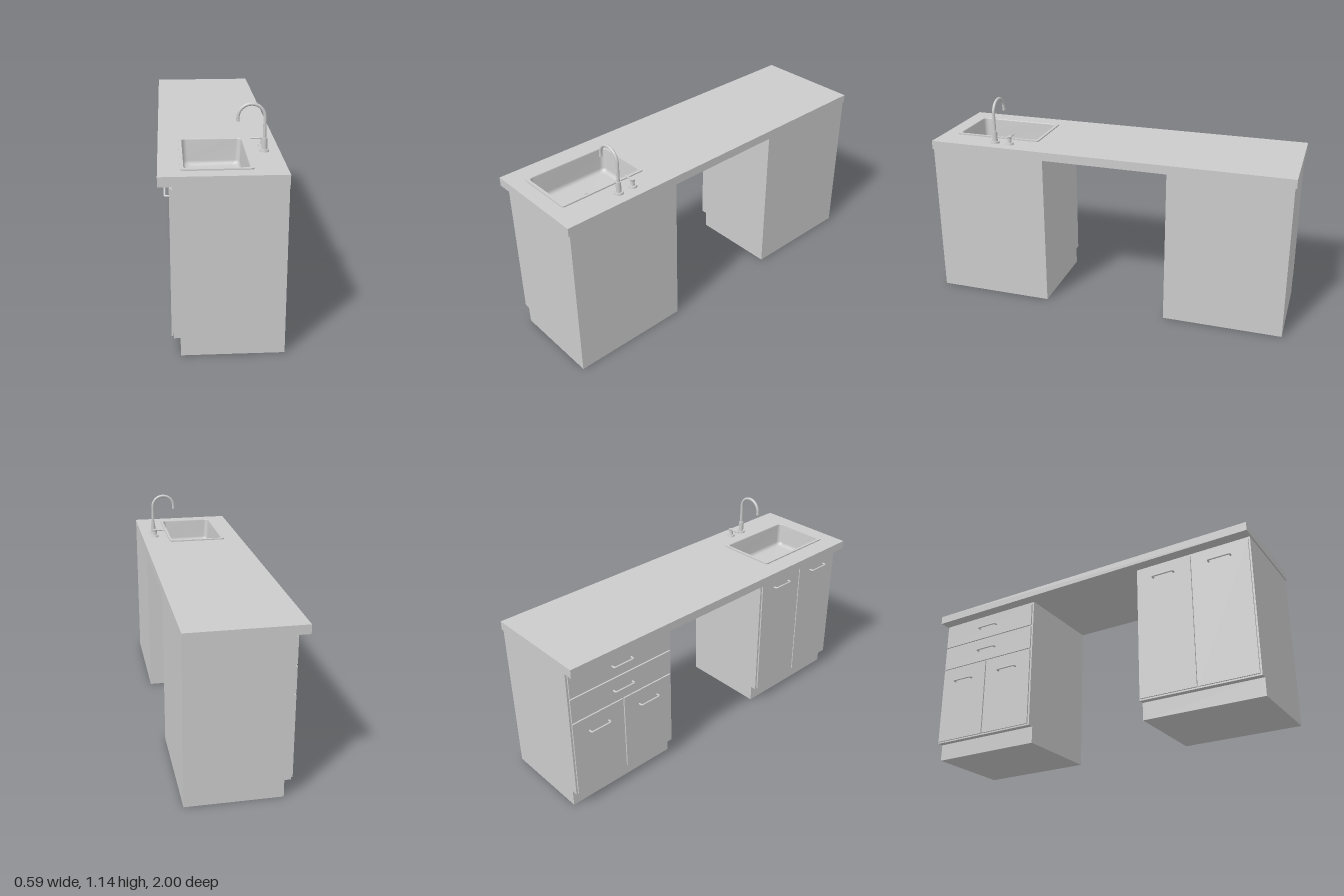
import * as THREE from 'three';

const grey = new THREE.MeshStandardMaterial({ color: 0xcccccc });
const greyDouble = new THREE.MeshStandardMaterial({ color: 0xcccccc, side: THREE.DoubleSide });

function add(parent, name, geometry, material = grey) {
  const mesh = new THREE.Mesh(geometry, material);
  mesh.name = name;
  parent.add(mesh);
  return mesh;
}

// Box given by its limits on each axis
function box(parent, name, [x0, x1], [y0, y1], [z0, z1]) {
  const mesh = add(parent, name, new THREE.BoxGeometry(x1 - x0, y1 - y0, z1 - z0));
  mesh.position.set((x0 + x1) / 2, (y0 + y1) / 2, (z0 + z1) / 2);
  return mesh;
}

function cylinder(parent, name, rTop, rBottom, y0, y1, x, z) {
  const mesh = add(parent, name, new THREE.CylinderGeometry(rTop, rBottom, y1 - y0, 24));
  mesh.position.set(x, (y0 + y1) / 2, z);
  return mesh;
}

// Rounded rectangle around (cx, cz), as points in plan
function roundedRect(cx, cz, hw, hd, r, steps = 6) {
  const points = [];
  [[1, 1], [-1, 1], [-1, -1], [1, -1]].forEach(([sx, sz], corner) => {
    for (let i = 0; i <= steps; i++) {
      const a = (corner + i / steps) * Math.PI / 2;
      points.push(new THREE.Vector2(
        cx + sx * (hw - r) + r * Math.cos(a), cz + sz * (hd - r) + r * Math.sin(a)));
    }
  });
  return points;
}

// Horizontal slab with an opening; plan points are (x, z)
function slab(outer, hole, y0, y1) {
  const flip = (p) => new THREE.Vector2(p.x, -p.y);
  const shape = new THREE.Shape(outer.map(flip));
  shape.holes.push(new THREE.Path(hole.map(flip)));
  return new THREE.ExtrudeGeometry(shape, { depth: y1 - y0, bevelEnabled: false })
    .rotateX(-Math.PI / 2).translate(0, y0, 0);
}

const SINK = [-0.026, 0.675];

// Cabinet carcass with a recessed toe kick under the doors
function cabinet(parent, name, z0, z1) {
  const group = new THREE.Group();
  group.name = name;
  parent.add(group);
  const t = 0.016;
  const profile = new THREE.Shape([[-0.2, 0], [0.291, 0], [0.291, 0.848], [-0.232, 0.848], [-0.232, 0.093], [-0.2, 0.093]]
    .map(([x, y]) => new THREE.Vector2(x, y)));
  for (const z of [z0, z1 - t]) {
    add(group, 'sidePanel', new THREE.ExtrudeGeometry(profile, { depth: t, bevelEnabled: false })).position.z = z;
  }
  const inner = [z0 + t, z1 - t];
  box(group, 'backPanel', [0.291 - t, 0.291], [0, 0.848], inner);
  box(group, 'frontPanel', [-0.232, -0.22], [0.093, 0.848], inner);
  box(group, 'toeKick', [-0.2, -0.184], [0, 0.093], inner);
  box(group, 'floorPanel', [-0.22, 0.275], [0.093, 0.109], inner);
  box(group, 'basePanel', [-0.184, 0.275], [0, 0.012], inner);
  return group;
}

// Arched pull handle standing off the front
function handle(parent, y, z) {
  const path = new THREE.CurvePath();
  const v = (x, dz) => new THREE.Vector3(x, y, z + dz);
  path.add(new THREE.LineCurve3(v(-0.238, -0.06), v(-0.254, -0.06)));
  path.add(new THREE.QuadraticBezierCurve3(v(-0.254, -0.06), v(-0.263, -0.06), v(-0.263, -0.05)));
  path.add(new THREE.LineCurve3(v(-0.263, -0.05), v(-0.263, 0.05)));
  path.add(new THREE.QuadraticBezierCurve3(v(-0.263, 0.05), v(-0.263, 0.06), v(-0.254, 0.06)));
  path.add(new THREE.LineCurve3(v(-0.254, 0.06), v(-0.238, 0.06)));
  add(parent, 'handle', new THREE.TubeGeometry(path, 48, 0.005, 10));
}

// Door or drawer front with its handle
function front(parent, name, y0, y1, z0, z1, handleY) {
  box(parent, name, [-0.243, -0.235], [y0, y1], [z0, z1]);
  box(parent, name + 'Spacer', [-0.235, -0.232], [y0 + 0.01, y1 - 0.01], [z0 + 0.01, z1 - 0.01]);
  handle(parent, handleY, (z0 + z1) / 2);
}

// Basin lofted through rounded rectangles from rim to floor
function basinGeometry() {
  const levels = [
    [0.151, 0.231, 0.02, 0.902], [0.148, 0.228, 0.022, 0.897], [0.143, 0.222, 0.025, 0.79],
    [0.139, 0.218, 0.027, 0.778], [0.132, 0.211, 0.03, 0.77], [0.12, 0.199, 0.03, 0.767],
    [0.02, 0.02, 0.019, 0.765], [0.001, 0.001, 0.0005, 0.765],
  ];
  const positions = [], index = [];
  let n = 0;
  for (const [hw, hd, r, y] of levels) {
    const ring = roundedRect(SINK[0], SINK[1], hw, hd, r);
    n = ring.length;
    ring.forEach((p) => positions.push(p.x, y, p.y));
  }
  for (let l = 0; l < levels.length - 1; l++) {
    for (let i = 0; i < n; i++) {
      const a = l * n + i, b = l * n + (i + 1) % n;
      index.push(a, b, a + n, b, b + n, a + n);
    }
  }
  const geometry = new THREE.BufferGeometry();
  geometry.setAttribute('position', new THREE.Float32BufferAttribute(positions, 3));
  geometry.setIndex(index);
  geometry.computeVertexNormals();
  return geometry;
}

function sink(parent) {
  const group = new THREE.Group();
  group.name = 'sink';
  parent.add(group);
  add(group, 'sinkRim', slab(roundedRect(...SINK, 0.166, 0.247, 0.015),
    roundedRect(...SINK, 0.151, 0.231, 0.02), 0.893, 0.902));
  add(group, 'basin', basinGeometry(), greyDouble);
  // Drain ring with a sunken strainer
  const drain = add(group, 'drainRing', new THREE.TorusGeometry(0.024, 0.004, 8, 32).rotateX(Math.PI / 2));
  drain.position.set(-0.026, 0.767, 0.66);
  cylinder(group, 'drainStrainer', 0.023, 0.023, 0.76, 0.767, -0.026, 0.66);
}

function faucet(parent) {
  const group = new THREE.Group();
  group.name = 'faucet';
  parent.add(group);
  const x = 0.217, z = 0.648, r = 0.0645, top = 1.063;
  cylinder(group, 'faucetBase', 0.022, 0.024, 0.894, 0.906, x, z);
  cylinder(group, 'faucetBody', 0.013, 0.014, 0.906, 0.962, x, z);
  // Gooseneck spout
  const points = [[x, 0.955], [x, 0.99], [x, 1.03]];
  for (let i = 0; i <= 12; i++) {
    const a = i / 12 * Math.PI;
    points.push([x - r + r * Math.cos(a), top + r * Math.sin(a)]);
  }
  points.push([x - 2 * r, 1.048]);
  const curve = new THREE.CatmullRomCurve3(points.map(([px, py]) => new THREE.Vector3(px, py, z)));
  add(group, 'spout', new THREE.TubeGeometry(curve, 64, 0.008, 14), greyDouble);
  cylinder(group, 'spoutTip', 0.0085, 0.0085, 1.046, 1.054, x - 2 * r, z);

  // Separate mixer control with a side lever
  const cz = 0.562;
  cylinder(group, 'controlBase', 0.02, 0.023, 0.894, 0.906, x, cz);
  cylinder(group, 'controlStem', 0.009, 0.011, 0.906, 0.928, x, cz);
  cylinder(group, 'controlCap', 0.014, 0.012, 0.928, 0.941, x, cz);
  const lever = add(group, 'controlLever', new THREE.CylinderGeometry(0.004, 0.006, 0.055, 12).rotateZ(Math.PI / 2));
  lever.position.set(0.186, 0.935, cz);
}

export function createModel() {
  const model = new THREE.Group();
  model.name = 'kitchenCounter';

  // Worktop with the sink cut-out
  const outline = [[-0.295, -1], [0.292, -1], [0.292, 1], [-0.295, 1]].map(([x, z]) => new THREE.Vector2(x, z));
  add(model, 'worktop', slab(outline, roundedRect(...SINK, 0.153, 0.233, 0.02), 0.848, 0.895));

  // Drawer cabinet: two drawers above a pair of doors
  const drawers = cabinet(model, 'drawerCabinet', -0.992, -0.343);
  front(drawers, 'drawerFront', 0.698, 0.834, -0.984, -0.351, 0.765);
  front(drawers, 'drawerFront', 0.552, 0.688, -0.984, -0.351, 0.62);
  for (const z of [-0.984, -0.664]) front(drawers, 'door', 0.1, 0.542, z, z + 0.313, 0.458);

  // Sink cabinet: a pair of tall doors
  const sinkCabinet = cabinet(model, 'sinkCabinet', 0.343, 0.992);
  for (const z of [0.351, 0.671]) front(sinkCabinet, 'tallDoor', 0.1, 0.834, z, z + 0.313, 0.765);

  sink(model);
  faucet(model);
  return model;
}
